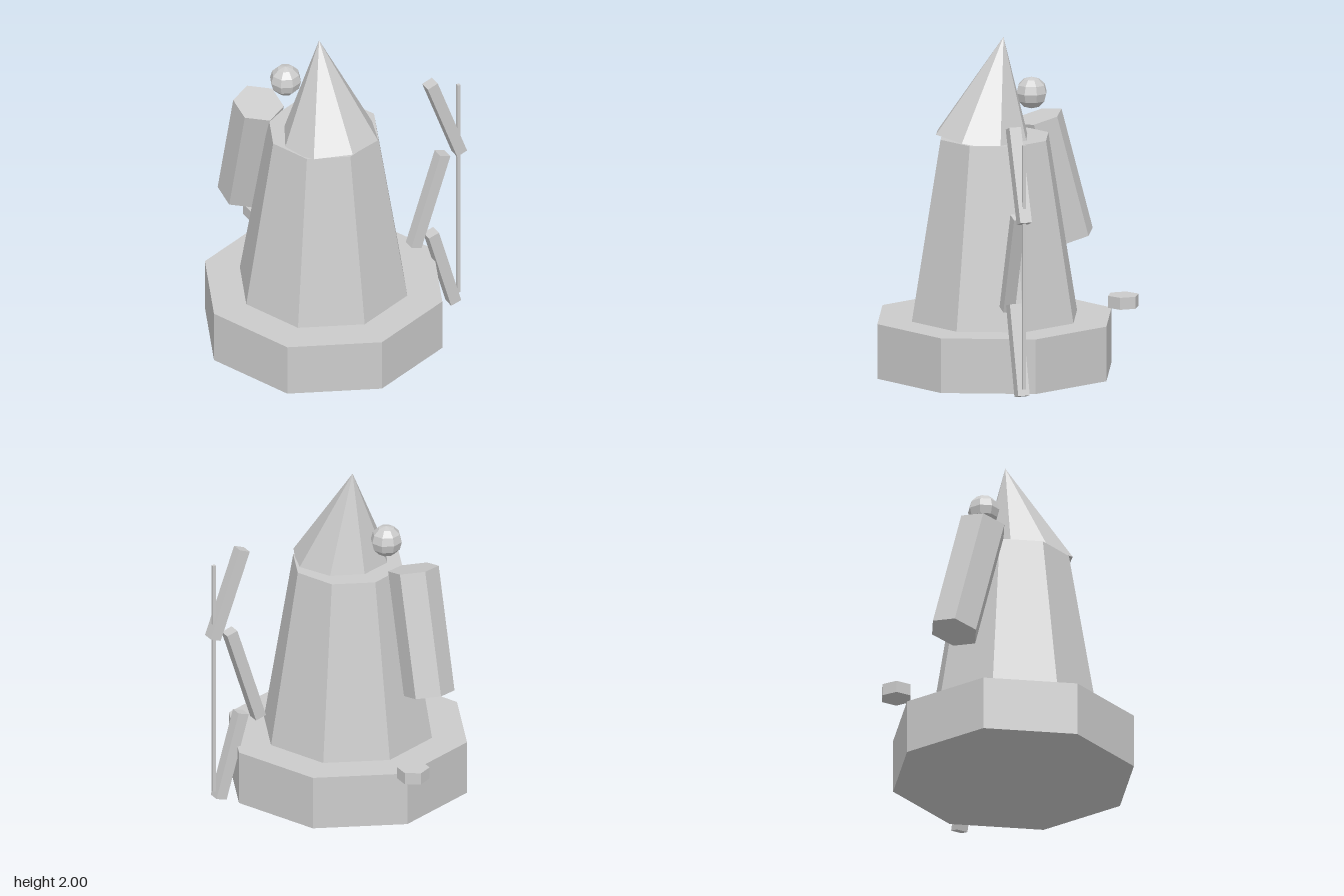
import * as THREE from 'three';

export function createModel() {
  const group = new THREE.Group();
  const material = new THREE.MeshStandardMaterial({ color: 0xcccccc, flatShading: true });

  function add(name, geometry, x, y, z, rx = 0, rz = 0) {
    const mesh = new THREE.Mesh(geometry, material);
    mesh.name = name;
    mesh.position.set(x, y, z);
    mesh.rotation.set(rx, 0, rz);
    group.add(mesh);
  }

  const cx = -0.077, cz = 0.083; // tower axis

  // Octagonal plinth and tapering tower
  add('base', new THREE.CylinderGeometry(0.73, 0.73, 0.328, 8), cx, 0.164, cz);
  add('tower', new THREE.CylinderGeometry(0.336, 0.515, 1.08, 8), cx, 0.868, cz);

  // Roof cone, leaning back
  const lean = 0.2, roofHeight = 0.632;
  add('roof', new THREE.ConeGeometry(0.302, roofHeight, 8), cx,
    1.38 + Math.cos(lean) * roofHeight / 2, 0.152 - Math.sin(lean) * roofHeight / 2, -lean);

  // Parts behind the tower
  add('backBall', new THREE.SphereGeometry(0.095, 8, 6), -0.187, 1.629, -0.187);
  add('backPillar', new THREE.CylinderGeometry(0.15, 0.15, 0.755, 6), -0.32, 1.088, -0.373, 0.261);
  add('backStep', new THREE.CylinderGeometry(0.096, 0.096, 0.072, 6), cx, 0.364, -0.72);

  // Zigzag of slats beside the tower: x, y, length, tilt
  const slats = [
    [0.67, 1.32, 0.57, 0.35],
    [0.56, 0.775, 0.62, -0.315],
    [0.654, 0.27, 0.543, 0.277],
  ];
  for (const [x, y, length, tilt] of slats) {
    add('slat', new THREE.BoxGeometry(0.07, length, 0.072), x, y, 0.194, 0, tilt);
  }

  // Thin upright rod
  add('rod', new THREE.BoxGeometry(0.02, 1.465, 0.02), 0.762, 0.79, 0.194);

  return group;
}
